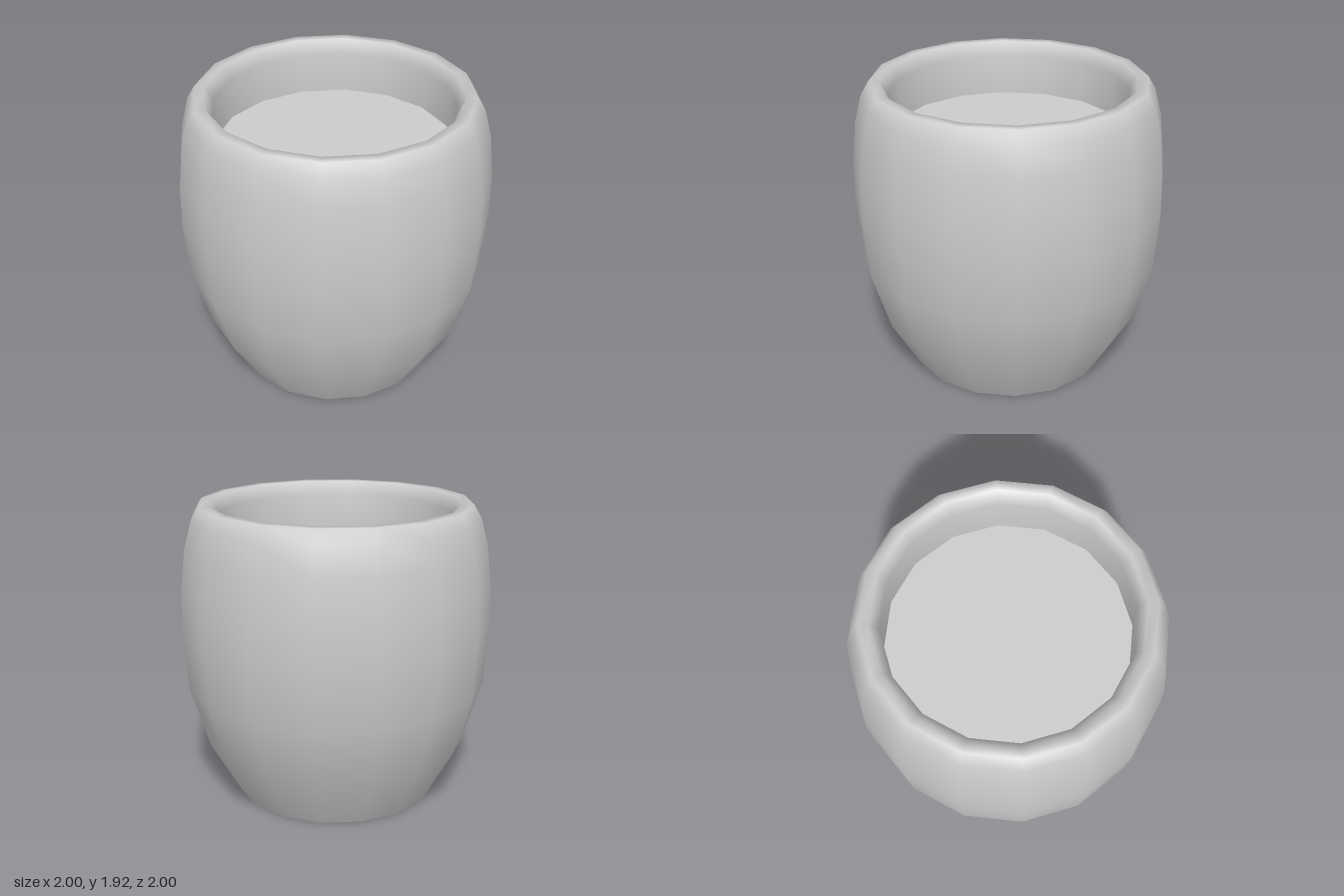
import * as THREE from 'three';

const SIDES = 16;

export function createModel() {
  const model = new THREE.Group();
  model.name = 'plantPot';
  const material = new THREE.MeshStandardMaterial({ color: 0xcccccc });

  const add = (name, geometry) => {
    const mesh = new THREE.Mesh(geometry, material);
    mesh.name = name;
    model.add(mesh);
    return mesh;
  };

  // Rounded wall: up the outside, over the rim and down the inside
  const profile = [
    [0.65, 0], [0.85, 0.35], [0.97, 0.75], [1, 1.13], [0.995, 1.4],
    [0.965, 1.67], [0.92, 1.84], [0.87, 1.925],
    [0.805, 1.925], [0.755, 1.84], [0.755, 1.57],
  ].map(([r, y]) => new THREE.Vector2(r, y));
  add('potWall', new THREE.LatheGeometry(profile, SIDES));

  // Flat underside
  add('potBase', new THREE.CircleGeometry(0.65, SIDES).rotateX(Math.PI / 2));

  // Soil surface set below the rim
  add('soil', new THREE.CircleGeometry(0.755, SIDES).rotateX(-Math.PI / 2)).position.y = 1.57;

  return model;
}
